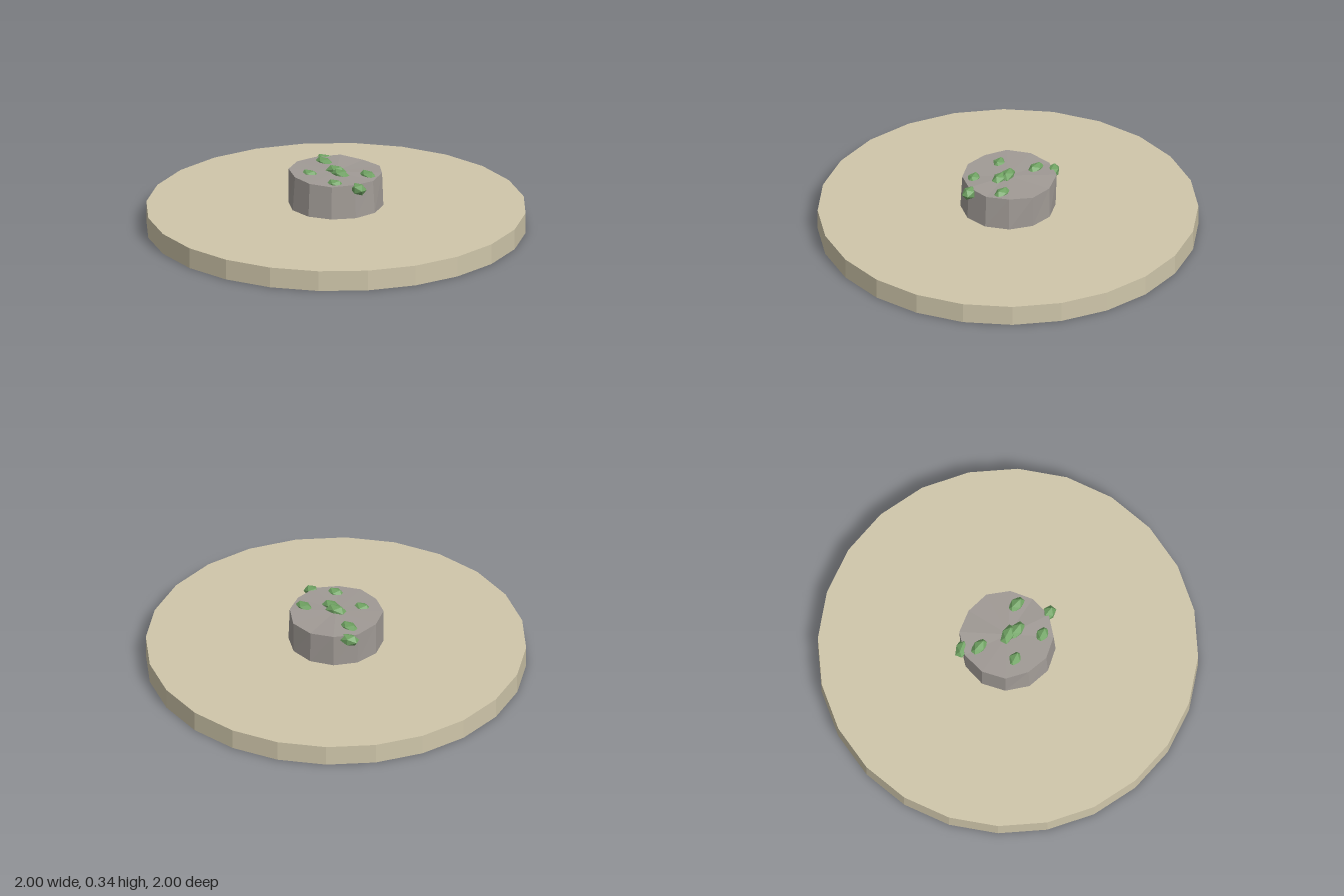
import * as THREE from 'three';

const make = (name, color) => {
  const m = new THREE.MeshStandardMaterial({ color });
  m.name = name;
  return m;
};

export function createModel() {
  const sand = make('sand', 0xcfc6aa);
  const stone = make('stone', 0xa09a95);
  const moss = make('moss', 0x6fa262);
  const group = new THREE.Group();

  const add = (name, geometry, material, x, y, z) => {
    const flat = geometry.index ? geometry.toNonIndexed() : geometry;
    flat.computeVertexNormals();
    const mesh = new THREE.Mesh(flat, material);
    mesh.name = name;
    mesh.position.set(x, y, z);
    group.add(mesh);
    return mesh;
  };

  // Broad 24-sided ground disc
  add('groundDisc', new THREE.CylinderGeometry(1, 1, 0.11, 24), sand, 0, 0.055, 0);

  // Twelve-sided stone, its worn top rim shifted: [radius, height], from +z towards +x
  const rim = [
    [0.24, 0.31], [0.24, 0.306], [0.24, 0.312], [0.238, 0.305], [0.243, 0.31], [0.252, 0.304],
    [0.247, 0.302], [0.256, 0.312], [0.254, 0.308], [0.25, 0.314], [0.25, 0.316], [0.237, 0.312],
  ];
  const drum = new THREE.CylinderGeometry(0.25, 0.25, 0.18, 12);
  const p = drum.attributes.position;
  for (let i = 0; i < p.count; i++) {
    const x = p.getX(i), z = p.getZ(i);
    if (p.getY(i) < 0 || Math.hypot(x, z) < 0.01) continue;
    const k = (Math.round(Math.atan2(x, z) / (Math.PI / 6)) + 12) % 12;
    const [r, y] = rim[k];
    p.setXYZ(i, r * Math.sin(k * Math.PI / 6), y - 0.22, r * Math.cos(k * Math.PI / 6));
  }
  add('stoneDrum', drum, stone, 0, 0.22, 0);

  // Flattened moss clumps: x, y, z, half width, turn
  const clumps = [
    [-0.19, 0.286, -0.165, 0.05, 0.2], [-0.14, 0.301, -0.09, 0.054, -0.15],
    [0, 0.311, 0, 0.054, 0.1], [0.045, 0.305, 0.025, 0.054, -0.1],
    [0.165, 0.3, -0.055, 0.052, -0.2], [-0.095, 0.298, 0.105, 0.048, 0.1],
    [0.1, 0.297, 0.15, 0.046, 0.1], [0.222, 0.289, 0.11, 0.043, -0.1],
  ];
  for (const [x, y, z, w, turn] of clumps) {
    const g = new THREE.IcosahedronGeometry(1, 0);
    g.scale(w * 1.15, 0.034, 0.036);
    add('mossClump', g, moss, x, y, z).rotation.y = turn;
  }
  return group;
}
